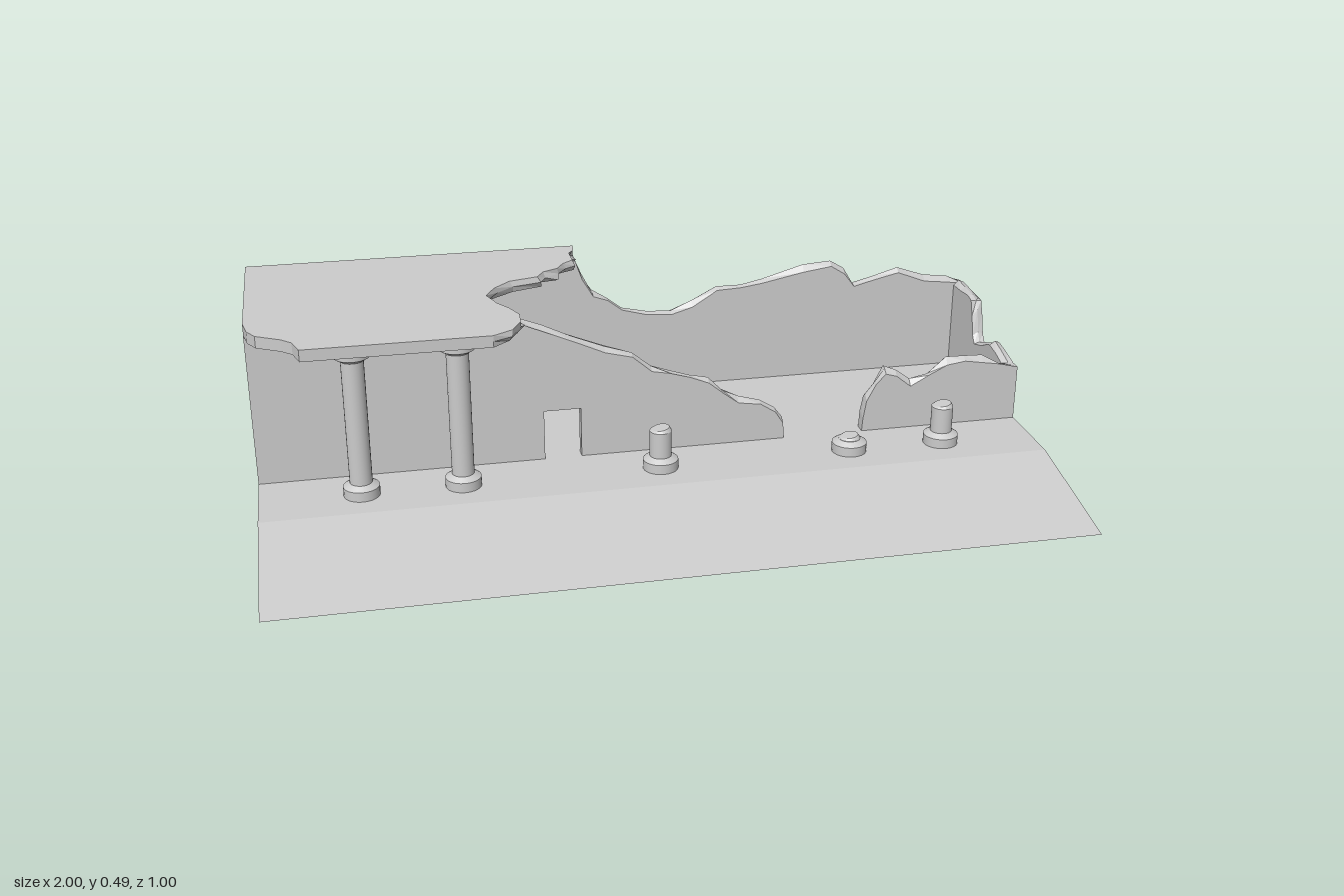
import * as THREE from 'three';

const FLOOR = 0.067, EAVE = 0.46, ROOF = 0.49, T = 0.03;

// Repeatable noise in -1..1, equal for equal positions so seams stay closed
const noise = (a, b, c) => {
  const s = Math.sin(Math.round(a * 500) * 12.9898 + Math.round(b * 500) * 78.233 + Math.round(c * 500) * 37.719) * 43758.5453;
  return 2 * (s - Math.floor(s)) - 1;
};

export function createModel() {
  const group = new THREE.Group();
  const stone = new THREE.MeshStandardMaterial({ color: 0xcccccc, flatShading: true });
  const smooth = new THREE.MeshStandardMaterial({ color: 0xcccccc });

  const add = (name, geo, mat = stone, parent = group) => {
    const mesh = new THREE.Mesh(geo, mat);
    mesh.name = name;
    parent.add(mesh);
    return mesh;
  };

  const extrude = (points, depth, steps = 1) =>
    new THREE.ExtrudeGeometry(new THREE.Shape(points.map(p => new THREE.Vector2(...p))),
      { depth, steps, bevelEnabled: false });

  // Wall slab whose crest vertices are chipped wherever broken(x, y) holds
  const ruinedWall = (points, broken) => {
    const geo = extrude(points, T, 2);
    const p = geo.attributes.position;
    for (let i = 0; i < p.count; i++) {
      const x = p.getX(i), y = p.getY(i), z = p.getZ(i);
      if (!broken(x, y)) continue;
      const mid = z > 0.01 && z < 0.02 ? 0.005 : -0.003;
      p.setY(i, y + mid + 0.008 * noise(x, y, z));
    }
    geo.computeVertexNormals();
    return geo;
  };

  // Ground slab with front ramp
  const ground = extrude([[-0.5, 0], [0.5, 0], [0.15, FLOOR], [-0.5, FLOOR]], 2);
  ground.rotateY(-Math.PI / 2).translate(1, 0, 0);
  add('ground', ground);

  // Back wall
  add('backWall', ruinedWall([
    [-1, FLOOR], [1, FLOOR], [1, 0.31], [0.95, 0.325], [0.88, 0.33], [0.8, 0.355], [0.73, 0.34],
    [0.67, 0.325], [0.64, 0.365], [0.6, 0.4], [0.52, 0.385], [0.4, 0.36], [0.34, 0.345], [0.27, 0.35],
    [0.2, 0.305], [0.14, 0.285], [0.07, 0.28], [0, 0.3], [-0.04, 0.33], [-0.08, 0.355],
    [-0.11, 0.41], [-0.13, EAVE], [-1, EAVE],
  ], (x, y) => y > 0.1 && y < 0.455 && x < 0.99)).position.z = -0.5;

  // Front wall with doorway, falling away to the right
  add('frontWall', ruinedWall([
    [-1, FLOOR], [-0.28, FLOOR], [-0.28, 0.2], [-0.185, 0.2], [-0.185, FLOOR], [0.355, FLOOR],
    [0.352, 0.11], [0.33, 0.15], [0.29, 0.17], [0.23, 0.18], [0.19, 0.205], [0.15, 0.24], [0.1, 0.26],
    [0.05, 0.275], [0, 0.295], [-0.05, 0.33], [-0.12, 0.355], [-0.2, 0.385], [-0.28, 0.42],
    [-0.34, 0.445], [-0.37, EAVE], [-1, EAVE],
  ], (x, y) => y > 0.1 && y < 0.455 && !(x < -0.17 && y < 0.22))).position.z = -0.09;

  // Remaining stretch of the front wall on the left end
  add('frontWallRemnant', ruinedWall([
    [0.57, FLOOR], [1, FLOOR], [1, 0.215], [0.95, 0.225], [0.9, 0.24], [0.85, 0.253], [0.8, 0.245],
    [0.75, 0.21], [0.7, 0.195], [0.66, 0.22], [0.63, 0.235], [0.605, 0.195], [0.58, 0.16], [0.572, 0.11],
  ], (x, y) => y > 0.1 && x < 0.99)).position.z = -0.09;

  // Broken end wall
  const end = ruinedWall([
    [-0.47, FLOOR], [-0.09, FLOOR], [-0.09, 0.22], [-0.14, 0.23], [-0.185, 0.242], [-0.2, 0.23],
    [-0.24, 0.205], [-0.29, 0.198], [-0.305, 0.22], [-0.32, 0.275], [-0.335, 0.305], [-0.36, 0.312],
    [-0.42, 0.31], [-0.47, 0.315],
  ], (z, y) => y > 0.1);
  end.rotateY(-Math.PI / 2).translate(1, 0, 0);
  add('brokenEndWall', end);

  // Intact end wall
  add('intactEndWall', new THREE.BoxGeometry(T, EAVE - FLOOR, 0.38))
    .position.set(-1 + T / 2, (EAVE + FLOOR) / 2, -0.28);

  // Roof slab with a ragged edge, undercut along the break
  const roof = extrude([
    [-1, 0.5], [-0.13, 0.5], [-0.135, 0.46], [-0.15, 0.44], [-0.15, 0.38], [-0.18, 0.355], [-0.2, 0.32],
    [-0.24, 0.3], [-0.26, 0.265], [-0.335, 0.245], [-0.38, 0.2], [-0.405, 0.15], [-0.385, 0.09],
    [-0.36, 0.05], [-0.34, 0], [-0.345, -0.05], [-0.37, -0.1], [-0.42, -0.13],
    [-0.87, -0.13], [-0.885, -0.08], [-0.91, -0.055], [-0.97, -0.02], [-0.99, 0.015], [-1, 0.07],
  ], ROOF - EAVE, 2);
  const rp = roof.attributes.position;
  for (let i = 0; i < rp.count; i++) {
    const x = rp.getX(i), y = rp.getY(i), z = rp.getZ(i);
    if (z > 0.025 || x < -0.38 || y > 0.49) continue;
    rp.setX(i, x + 0.012 * noise(x, y, z));
    rp.setY(i, y + 0.008 * noise(y, x, z));
  }
  roof.computeVertexNormals();
  roof.rotateX(-Math.PI / 2).translate(0, EAVE, 0);
  add('roof', roof);

  // Columns: two whole, three broken off at [x, top height]
  for (const [x, top] of [[-0.75, EAVE], [-0.5, EAVE], [0, 0.18], [0.5, 0.113], [0.75, 0.18]]) {
    const column = new THREE.Group();
    column.name = top === EAVE ? 'column' : 'brokenColumn';
    column.position.set(x, 0, 0.047);
    const drum = (name, rTop, rBottom, y0, y1) =>
      add(name, new THREE.CylinderGeometry(rTop, rBottom, y1 - y0, 24).translate(0, (y0 + y1) / 2, 0), smooth, column);
    drum('columnBase', 0.045, 0.045, FLOOR, 0.092);
    drum('columnBaseTaper', 0.03, 0.045, 0.092, 0.102);
    if (top === EAVE) {
      drum('columnShaft', 0.028, 0.028, 0.1, 0.43);
      drum('capitalTaper', 0.045, 0.03, 0.424, 0.434);
      drum('capital', 0.045, 0.045, 0.434, EAVE);
    } else {
      // Slanted, chipped top
      const shaft = drum('columnStump', 0.022, 0.028, top - 0.01, top);
      const p = shaft.geometry.attributes.position;
      for (let i = 0; i < p.count; i++)
        if (p.getY(i) > top - 0.005) p.setY(i, top - 0.003 + 0.15 * p.getX(i));
      shaft.geometry.computeVertexNormals();
      drum('columnShaft', 0.028, 0.028, 0.095, top - 0.01);
    }
    group.add(column);
  }
  return group;
}
